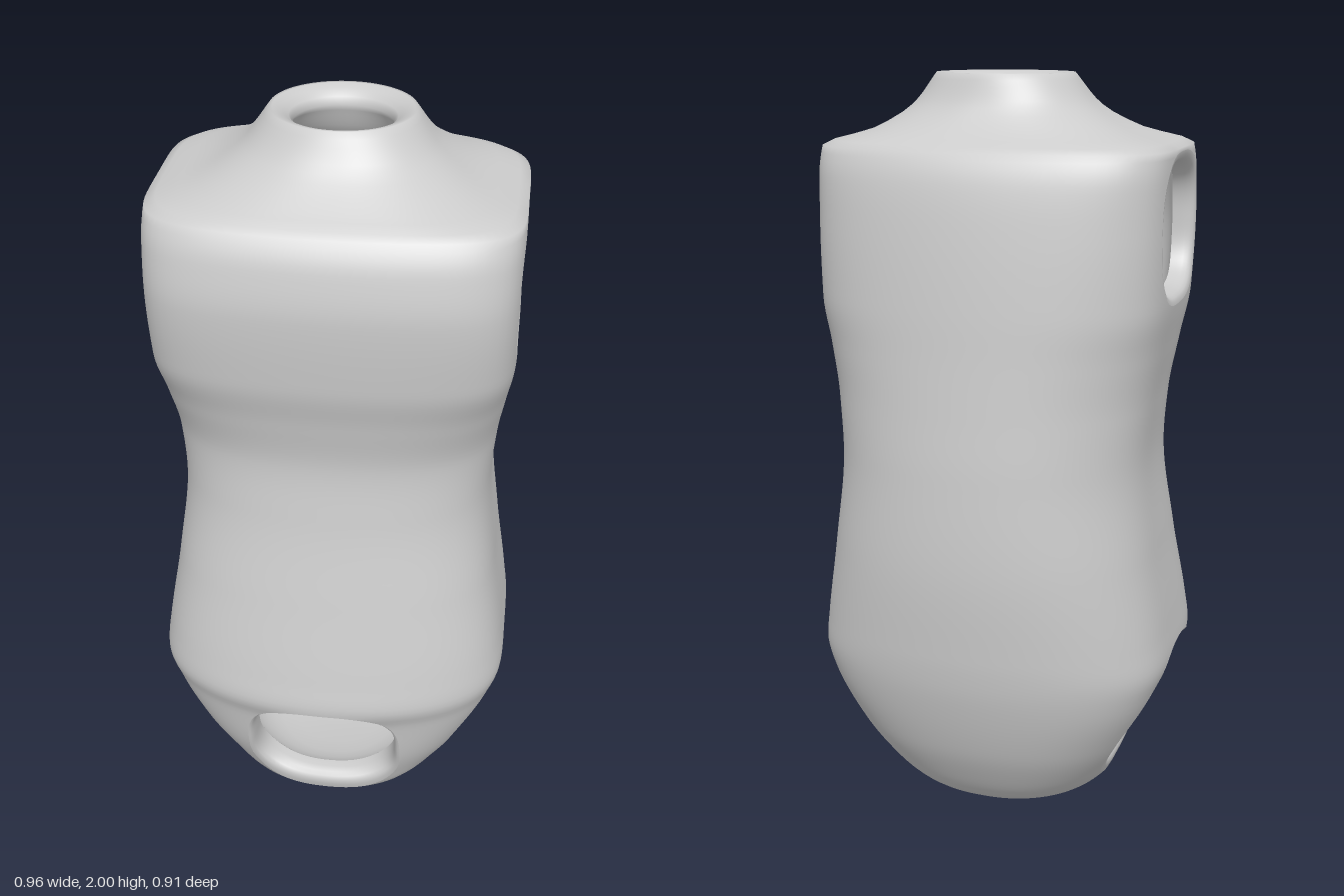
import * as THREE from 'three';

// Body profile from the ground up:
// height, half width, front z, back z, squareness, front arch, back arch
const PROFILE = [
  [0, 0, 0, 0, 2, 0, 0], [0.006, 0.13, 0.15, 0.1, 2, 0, 0],
  [0.04, 0.257, 0.31, 0.217, 2.4, 0.04, 0.04], [0.08, 0.302, 0.36, 0.268, 2.8, 0.06, 0.06],
  [0.15, 0.348, 0.383, 0.318, 3.4, 0.08, 0.08], [0.25, 0.4, 0.41, 0.37, 4.2, 0.095, 0.1],
  [0.4, 0.462, 0.435, 0.418, 5, 0.115, 0.12], [0.47, 0.481, 0.458, 0.433, 5, 0.13, 0.13],
  [0.55, 0.472, 0.443, 0.443, 4.8, 0.115, 0.13], [0.78, 0.437, 0.39, 0.456, 4.3, 0.09, 0.13],
  [1.03, 0.411, 0.337, 0.444, 4, 0.075, 0.125], [1.18, 0.421, 0.32, 0.43, 4, 0.065, 0.12],
  [1.32, 0.44, 0.341, 0.417, 4.5, 0.055, 0.115], [1.44, 0.455, 0.368, 0.407, 5.5, 0.05, 0.11],
  [1.63, 0.457, 0.38, 0.385, 6, 0.045, 0.095], [1.75, 0.457, 0.36, 0.363, 6, 0.045, 0.08],
  [1.82, 0.454, 0.325, 0.332, 5.5, 0.04, 0.065], [1.86, 0.335, 0.265, 0.275, 3.6, 0.02, 0.03],
  [1.92, 0.24, 0.188, 0.222, 2.4, 0, 0], [2, 0.178, 0.133, 0.19, 2, 0, 0],
];
const WALL = 0.057, FLOOR = 0.05, CEILING = 1.96, COLS = 144;

// Monotone cubic interpolation of one profile column
function slope(k, col) {
  if (k === 0 || k === PROFILE.length - 1) {
    const i = Math.min(k, PROFILE.length - 2);
    return (PROFILE[i + 1][col] - PROFILE[i][col]) / (PROFILE[i + 1][0] - PROFILE[i][0]);
  }
  const [p, q, r] = [PROFILE[k - 1], PROFILE[k], PROFILE[k + 1]];
  const a = (q[col] - p[col]) / (q[0] - p[0]), b = (r[col] - q[col]) / (r[0] - q[0]);
  return a * b <= 0 ? 0 : 2 * a * b / (a + b);
}
function sample(y, col) {
  let k = 0;
  while (k < PROFILE.length - 2 && y > PROFILE[k + 1][0]) k++;
  const p = PROFILE[k], q = PROFILE[k + 1], h = q[0] - p[0];
  const t = THREE.MathUtils.clamp((y - p[0]) / h, 0, 1), s = 1 - t;
  return p[col] * s * s * (1 + 2 * t) + q[col] * t * t * (3 - 2 * t)
    + h * (slope(k, col) * t * s * s - slope(k + 1, col) * t * t * s);
}

// Cross-section of the outer or inner skin: a squarish oval with arched front and back
const toInner = (y) => FLOOR + y * (CEILING - FLOOR) / 2;
function section(y, inner, inset = inner ? WALL : 0) {
  const v = inner ? (y - FLOOR) * 2 / (CEILING - FLOOR) : y;
  const archFront = sample(v, 5), archBack = sample(v, 6);
  const f = sample(v, 2) - archFront, b = sample(v, 3) - archBack;
  return {
    w: Math.max(0.001, sample(v, 1) - inset), c: (f - b) / 2,
    d: Math.max(0.001, (f + b) / 2 - inset), n: sample(v, 4), archFront, archBack,
  };
}

// Depth of the front or back of a section at the width ratio t (0 to 1)
function depth(s, t, back) {
  const oval = s.d * Math.pow(Math.max(0, 1 - Math.pow(t, s.n)), 1 / s.n);
  return oval + (back ? s.archBack : s.archFront) * (1 - t * t);
}

// Openings: u runs along z on the sides (side = 1 or -1) and along x on the front (side = 0)
// outer and inner are [centre u, centre y, half width, half height]
const arm = { name: 'armOpening', m: 2.8, outer: [0.02, 1.618, 0.205, 0.193], inner: [0.018, 1.618, 0.182, 0.163] };
const leg = { name: 'legOpening', m: 2.2, outer: [0.035, 0.283, 0.25, 0.2], inner: [0.035, 0.306, 0.22, 0.168] };
const HOLES = [
  { ...arm, side: 1 }, { ...arm, side: -1 }, { ...leg, side: 1 }, { ...leg, side: -1 },
  { name: 'frontOpening', side: 0, m: 2.8, outer: [0, 0.262, 0.215, 0.195], inner: [0, 0.29, 0.195, 0.16] },
];

// Point of a skin seen straight on through an opening
function onSkin(hole, u, y, inner) {
  const s = section(y, inner);
  if (hole.side === 0) return new THREE.Vector3(u, y, s.c + depth(s, Math.min(1, Math.abs(u) / s.w), false));
  // Bisect for the width at which the skin reaches this depth
  let lo = 0, hi = 1;
  for (let i = 0; i < 30; i++) {
    const t = (lo + hi) / 2;
    if (depth(s, t, u < s.c) > Math.abs(u - s.c)) lo = t;
    else hi = t;
  }
  return new THREE.Vector3(hole.side * s.w * lo, y, u);
}

// Moves a point that lies inside an opening to its edge; returns null elsewhere
function snap(p, inner) {
  for (const hole of HOLES) {
    const [cu, cy, hw, hh] = inner ? hole.inner : hole.outer;
    if ((hole.side === 0 ? p.z : p.x * hole.side) < 0.12) continue;
    const a = ((hole.side === 0 ? p.x : p.z) - cu) / hw, b = (p.y - cy) / hh;
    const f = Math.pow(Math.pow(Math.abs(a), hole.m) + Math.pow(Math.abs(b), hole.m), 1 / hole.m);
    if (f < 1) return onSkin(hole, cu + a / (f + 1e-6) * hw, cy + b / (f + 1e-6) * hh, inner);
  }
  return null;
}

function surface(points, index) {
  const g = new THREE.BufferGeometry().setFromPoints(points);
  g.setIndex(index);
  g.computeVertexNormals();
  return g;
}

// Hollow torso: up the outside, over the neck lip and down the inside
function shellGeometry() {
  const heights = [0];
  for (let k = 1; k < PROFILE.length; k++) {
    const a = PROFILE[k - 1][0], b = PROFILE[k][0], steps = Math.max(3, Math.ceil((b - a) / 0.02));
    for (let i = 1; i <= steps; i++) heights.push(a + (b - a) * i / steps);
  }
  const rows = heights.map((y) => ({ y, inner: false, s: section(y, false) }));
  for (const [y, inset] of [[2, 0.008], [1.992, 0.026], [1.978, 0.047]]) {
    rows.push({ y, inner: false, s: section(2, false, inset) });
  }
  for (const h of [...heights].reverse()) {
    const y = toInner(h);
    rows.push({ y, inner: true, s: section(y, true) });
  }
  const points = [], cut = [], index = [];
  for (const { y, inner, s } of rows) {
    for (let i = 0; i < COLS; i++) {
      const a = i / COLS * Math.PI * 2, cx = Math.cos(a), cz = Math.sin(a);
      const r = Math.pow(Math.pow(Math.abs(cx), s.n) + Math.pow(Math.abs(cz), s.n), -1 / s.n);
      const arch = (cz < 0 ? -s.archBack : s.archFront) * (1 - r * r * cx * cx);
      const p = new THREE.Vector3(s.w * r * cx, y, s.c + s.d * r * cz + arch), moved = snap(p, inner);
      points.push(moved || p);
      cut.push(!!moved);
    }
  }
  const tri = (a, b, c) => { if (!(cut[a] && cut[b] && cut[c])) index.push(a, b, c); };
  for (let j = 0; j < rows.length - 1; j++) {
    for (let i = 0; i < COLS; i++) {
      const a = j * COLS + i, b = j * COLS + (i + 1) % COLS;
      tri(a, a + COLS, b);
      tri(b, a + COLS, b + COLS);
    }
  }
  return surface(points, index);
}

// Rounded rim joining the outer and inner edge of an opening
function rimGeometry(hole) {
  const N = 96, STEPS = 6, points = [], index = [];
  for (let i = 0; i < N; i++) {
    const a = i / N * Math.PI * 2, c = Math.cos(a), s = Math.sin(a);
    const r = Math.pow(Math.pow(Math.abs(c), hole.m) + Math.pow(Math.abs(s), hole.m), -1 / hole.m);
    const edge = ([cu, cy, hw, hh], inner) => onSkin(hole, cu + r * c * hw, cy + r * s * hh, inner);
    const curve = new THREE.QuadraticBezierCurve3(edge(hole.outer, false), edge(hole.inner, false), edge(hole.inner, true));
    points.push(...curve.getPoints(STEPS));
  }
  const W = STEPS + 1;
  for (let i = 0; i < N; i++) {
    for (let j = 0; j < STEPS; j++) {
      const a = i * W + j, b = ((i + 1) % N) * W + j;
      if (hole.side === 1) index.push(a, a + 1, b, b, a + 1, b + 1);
      else index.push(a, b, a + 1, b, b + 1, a + 1);
    }
  }
  return surface(points, index);
}

export function createModel() {
  const group = new THREE.Group();
  group.name = 'hollowTorso';
  const material = new THREE.MeshStandardMaterial({ color: 0xcccccc, side: THREE.DoubleSide });
  const add = (name, geometry) => {
    const mesh = new THREE.Mesh(geometry, material);
    mesh.name = name;
    group.add(mesh);
  };
  add('torsoShell', shellGeometry());
  for (const hole of HOLES) {
    add((hole.side === 1 ? 'left ' : hole.side === -1 ? 'right ' : '') + hole.name + ' rim', rimGeometry(hole));
  }
  return group;
}
